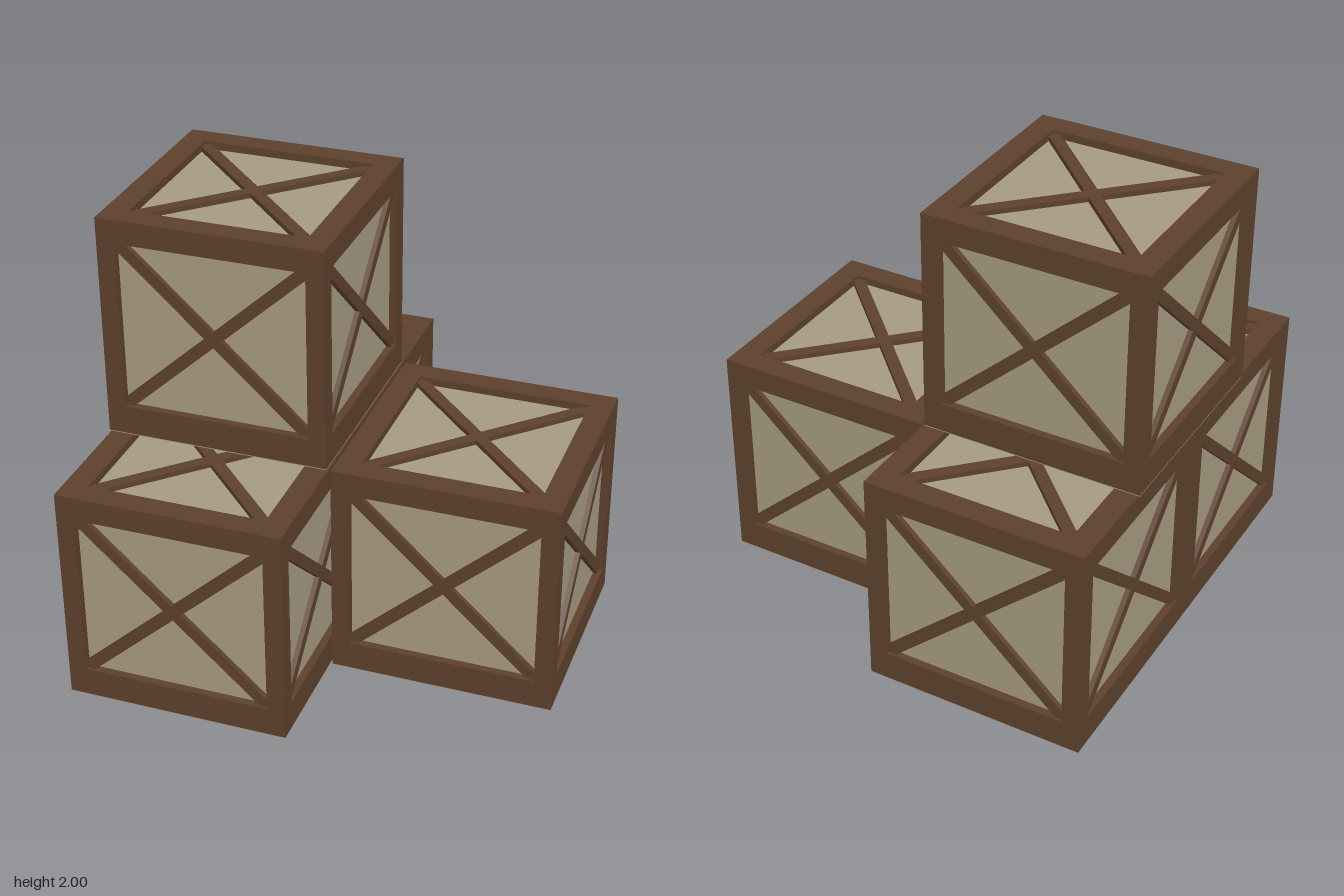
import * as THREE from 'three';

const W = 0.99, H = 1, D = 0.995; // crate size
const T = 0.035;                  // frame thickness, also the panel recess
const BRACE = 0.022;              // how far the braces stand off the panels
const BASE = 0.004;               // thin bottom board

const wood = new THREE.MeshStandardMaterial({ color: 0x5c402c, flatShading: true });
const panel = new THREE.MeshStandardMaterial({ color: 0xa59980, flatShading: true });

const polygon = (points, Type = THREE.Shape) => new Type(points.map(([x, y]) => new THREE.Vector2(x, y)));
const rect = (x0, y0, x1, y1) => [[x0, y0], [x1, y0], [x1, y1], [x0, y1]];

function addMesh(parent, name, geometry, material) {
  const mesh = new THREE.Mesh(geometry, material);
  mesh.name = name;
  parent.add(mesh);
  return mesh;
}

// One framed face in the XY plane, outer surface at z = 0, facing +z.
// outer and hole are [x0, y0, x1, y1].
function framedFace(name, outer, hole) {
  const face = new THREE.Group();
  face.name = name;

  const border = polygon(rect(...outer));
  border.holes.push(polygon(rect(...hole).reverse(), THREE.Path));
  addMesh(face, 'frame', new THREE.ExtrudeGeometry(border, { depth: T, bevelEnabled: false }), wood)
    .position.z = -T;

  // crossed braces as one X outline, clipped to the opening
  const [x0, y0, x1, y1] = hole;
  const w = (x1 - x0) / 2, h = (y1 - y0) / 2;
  const a = 0.038, b = a * h / w;
  const cross = polygon([
    [-w, -h], [-w + a, -h], [0, -b], [w - a, -h], [w, -h], [w, -h + b], [a, 0], [w, h - b],
    [w, h], [w - a, h], [0, b], [-w + a, h], [-w, h], [-w, h - b], [-a, 0], [-w, -h + b],
  ]);
  addMesh(face, 'crossBrace', new THREE.ExtrudeGeometry(cross, { depth: BRACE, bevelEnabled: false }), wood)
    .position.set((x0 + x1) / 2, (y0 + y1) / 2, -T);
  return face;
}

function crate(name, x, y, z) {
  const group = new THREE.Group();
  group.name = name;
  group.position.set(x, y, z);

  // inner box carries all recessed panels; the base board covers the underside
  addMesh(group, 'panels', new THREE.BoxGeometry(W - 2 * T, H - T - BASE, D - 2 * T), panel)
    .position.y = (H - T + BASE) / 2;
  addMesh(group, 'baseBoard', new THREE.BoxGeometry(W, BASE, D), panel).position.y = BASE / 2;

  // four sides: front, left, back, right
  ['frontFace', 'leftFace', 'backFace', 'rightFace'].forEach((side, i) => {
    const alongX = i % 2 === 0;
    const half = (alongX ? W : D) / 2;
    const edge = alongX ? half : half - T; // left and right fit between front and back
    const face = framedFace(side, [-edge, BASE, edge, H - T], [-half + 0.08, 0.135, half - 0.08, 0.895]);
    const angle = i * Math.PI / 2, reach = (alongX ? D : W) / 2;
    face.rotation.y = angle;
    face.position.set(Math.sin(angle) * reach, 0, Math.cos(angle) * reach);
    group.add(face);
  });

  // lid
  const lid = framedFace('lid', [-W / 2, -D / 2, W / 2, D / 2],
    [-W / 2 + 0.105, -D / 2 + 0.105, W / 2 - 0.105, D / 2 - 0.105]);
  lid.rotation.x = -Math.PI / 2;
  lid.position.y = H;
  group.add(lid);
  return group;
}

export function createModel() {
  const model = new THREE.Group();
  model.name = 'crateStack';
  model.add(
    crate('frontCrate', -0.497, 0, 0.5),
    crate('backCrate', -0.497, 0, -0.5),
    crate('sideCrate', 0.503, 0, -0.045),
    crate('topCrate', -0.505, 1, -0.045),
  );
  return model;
}
